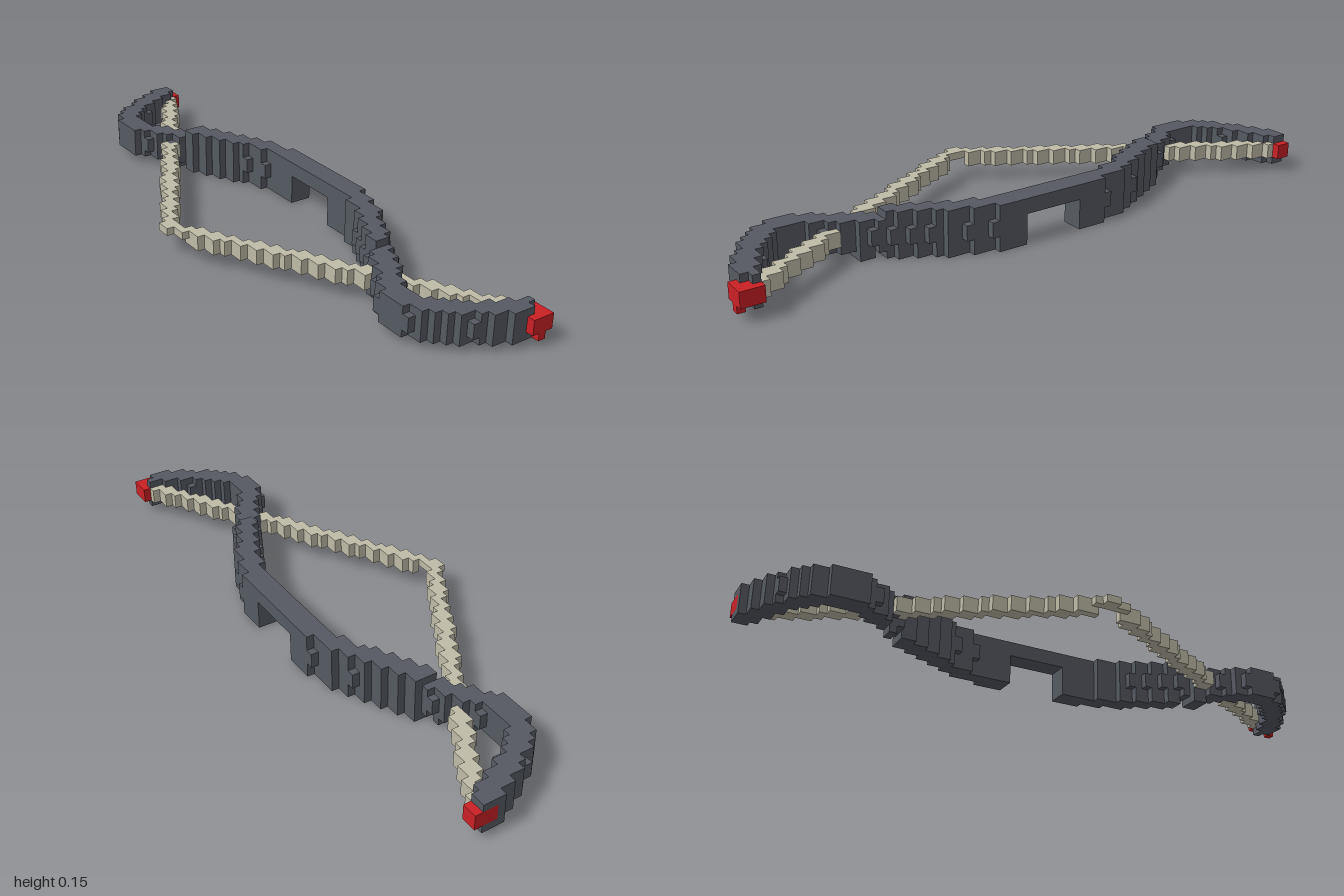
import * as THREE from 'three';
import { mergeGeometries } from 'three/addons/utils/BufferGeometryUtils.js';

const NX = 25, NY = 6, NZ = 82, U = 2 / NZ; // block grid
const X0 = -NX * U / 2;

// distance in plan from a block centre to a polyline of [x, z] points
function distance(x, z, path) {
  let best = Infinity;
  for (let n = 1; n < path.length; n++) {
    const [ax, az] = path[n - 1], [bx, bz] = path[n];
    const dx = bx - ax, dz = bz - az;
    const t = Math.min(1, Math.max(0, ((x - ax) * dx + (z - az) * dz) / (dx * dx + dz * dz)));
    best = Math.min(best, Math.hypot(x - ax - t * dx, z - az - t * dz));
  }
  return best;
}

// recurve centre line, from the rear tip to the grip, mirrored to the front
const half = [[0.26, -0.98], [0.2, -0.95], [0.12, -0.905], [0.05, -0.85], [0.008, -0.8], [-0.006, -0.745],
  [0.012, -0.69], [0.04, -0.65], [0.075, -0.59], [0.13, -0.5], [0.18, -0.4], [0.232, -0.3], [0.262, -0.2], [0.268, -0.1]];
const points = [...half, ...half.slice().reverse().map(([x, z]) => [x, -z - 0.015])];
const curve = new THREE.CatmullRomCurve3(points.map(([x, z]) => new THREE.Vector3(x, 0, z)));
const bowPath = curve.getPoints(120).map(p => [p.x, p.z]);
const stringPath = [[0.265, -0.95], [-0.285, -0.015], [0.27, 0.945]];

// red caps on both limb ends
function isTip(x, j, z) {
  if (j < 2 || j > 3) return j === 1 && z > 0.97 && x > 0.256 && x < 0.28;
  if (z > 0.925) return x > 0.256 || (z > 0.975 && x > 0.23);
  return z < -0.975 ? x > 0.23 : z < -0.95 && x > 0.28;
}

// stave: thick in the middle, thinner limbs, undercut grip
function isBow(x, j, z) {
  if (z > 0.975 || (z > 0.95 && x > 0.256)) return false;
  if (Math.abs(z) < 0.1 && j < 4) return false;
  if (j === 5 && (z < -0.535 || z > 0.485)) return false;
  if (j === 0 && (z < -0.585 || z > 0.56 || (z > 0.485 && z < 0.51) || (z < -0.535 && z > -0.56))) return false;
  const radius = j === 2 || j === 3 ? 0.035 : 0.031;
  return distance(x, z, bowPath) < radius;
}

// drawn string, two blocks tall except at its point
function isString(x, j, z) {
  if (j < 2 || j > 3 || (j === 2 && x < -0.256)) return false;
  return distance(x, z, stringPath) < 0.02;
}

function partAt(i, j, k) {
  const x = X0 + (i + 0.5) * U, z = -1 + (k + 0.5) * U;
  if (isTip(x, j, z)) return 'limbTips';
  if (isBow(x, j, z)) return 'bowStave';
  return isString(x, j, z) ? 'bowString' : null;
}

export function createModel() {
  const group = new THREE.Group();
  group.name = 'bow';
  const material = (name, color) => Object.assign(new THREE.MeshStandardMaterial({ color }), { name });
  const materials = {
    bowStave: material('dark grey', 0x555962),
    bowString: material('pale string', 0xc0bba8),
    limbTips: material('red', 0xc92024),
  };
  const boxes = { bowStave: [], bowString: [], limbTips: [] };

  // join neighbouring blocks of each row into one box
  for (let k = 0; k < NZ; k++) {
    for (let j = 0; j < NY; j++) {
      let start = 0, part = null;
      for (let i = 0; i <= NX; i++) {
        const next = i < NX ? partAt(i, j, k) : null;
        if (next === part) continue;
        if (part) {
          const box = new THREE.BoxGeometry((i - start) * U, U, U);
          box.translate(X0 + (start + i) * U / 2, (j + 0.5) * U, -1 + (k + 0.5) * U);
          boxes[part].push(box);
        }
        start = i;
        part = next;
      }
    }
  }

  for (const name of Object.keys(boxes)) {
    const mesh = new THREE.Mesh(mergeGeometries(boxes[name]), materials[name]);
    mesh.name = name;
    group.add(mesh);
  }
  return group;
}
